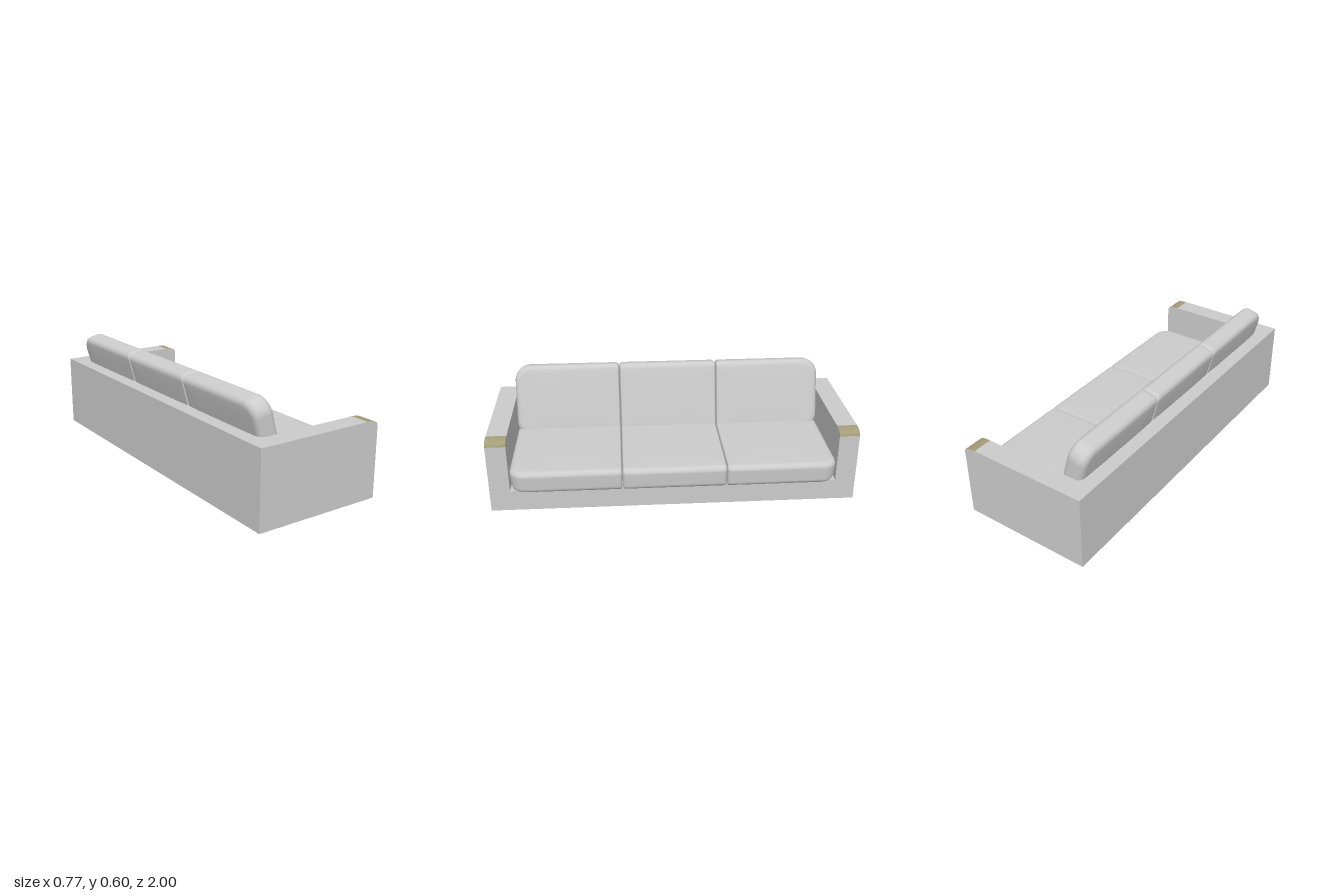
import * as THREE from 'three';
import { toCreasedNormals } from 'three/addons/utils/BufferGeometryUtils.js';

const grey = new THREE.MeshStandardMaterial({ color: 0xcccccc });
const olive = new THREE.MeshStandardMaterial({ color: 0xa59d78 });

const BACK = -0.385, FRONT = 0.343, ARM_TOP = 0.418, ARM_INNER = 0.89, BASE_TOP = 0.118;
const NOSE_X = 0.272, NOSE_Y = 0.388;

function addMesh(parent, name, geometry, material = grey) {
  const mesh = new THREE.Mesh(geometry, material);
  mesh.name = name;
  parent.add(mesh);
  return mesh;
}

function addBox(parent, name, x0, x1, y0, y1, z0, z1) {
  const mesh = addMesh(parent, name, new THREE.BoxGeometry(x1 - x0, y1 - y0, z1 - z0));
  mesh.position.set((x0 + x1) / 2, (y0 + y1) / 2, (z0 + z1) / 2);
}

// Rounded rectangle in x/z. ends = which z ends are free (true) or a seam (false), as [+z, -z]
function outline(depth, width, inset, ends, cornerRadius) {
  const points = [];
  const corners = [[1, 1], [-1, 1], [-1, -1], [1, -1]];
  corners.forEach(([sx, sz], c) => {
    const free = ends[sz > 0 ? 0 : 1];
    const hx = depth / 2 - inset;
    const hz = width / 2 - inset * (free ? 1 : 0.3);
    const r = Math.max((free ? cornerRadius : 0.022) - inset * 0.6, 0.004);
    for (let i = 0; i <= 7; i++) {
      const a = (c + i / 7) * Math.PI / 2;
      points.push([sx * (hx - r) + r * Math.cos(a), sz * (hz - r) + r * Math.sin(a)]);
    }
  });
  return points;
}

// Cushion lofted through stacked outlines: domed caps, rounded edges, slightly pinched lower side
function cushionGeometry({ depth, width, height, edge, dome, pinch, ends, cornerRadius }) {
  const rings = [];
  const capScales = [0, 0.3, 0.6, 0.8, 0.92];
  const steps = 6;
  const half = height / 2;
  const addRing = (inset, y, scale = 1) => rings.push(
    outline(depth, width, inset, ends, cornerRadius).map(([x, z]) => [x * scale, y, z * scale]));
  const domeAt = s => dome * (1 - s ** 4);

  capScales.forEach(s => addRing(edge + pinch, -half - domeAt(s), s));
  for (let i = 0; i <= steps; i++) {
    const t = (1 - i / steps) * Math.PI / 2;
    addRing(edge * (1 - Math.cos(t)) + pinch, -half + edge - edge * Math.sin(t));
  }
  for (let i = 0; i <= steps; i++) {
    const t = (i / steps) * Math.PI / 2;
    addRing(edge * (1 - Math.cos(t)), half - edge + edge * Math.sin(t));
  }
  capScales.slice().reverse().forEach(s => addRing(edge, half + domeAt(s), s));

  const n = rings[0].length;
  const index = [];
  for (let j = 0; j < rings.length - 1; j++) {
    for (let k = 0; k < n; k++) {
      const a = j * n + k, b = j * n + (k + 1) % n;
      index.push(a, a + n, b, b, a + n, b + n);
    }
  }
  const geometry = new THREE.BufferGeometry();
  geometry.setAttribute('position', new THREE.Float32BufferAttribute(rings.flat(2), 3));
  geometry.setIndex(index);
  geometry.computeVertexNormals();
  return geometry;
}

function makeArm(side) {
  const arm = new THREE.Group();
  arm.name = side > 0 ? 'leftArm' : 'rightArm';
  const depth = 1 - ARM_INNER;

  // Panel with its front top corner cut off
  const panel = new THREE.Shape([
    [BACK, 0], [FRONT, 0], [FRONT, NOSE_Y], [NOSE_X, ARM_TOP], [BACK, ARM_TOP],
  ].map(([x, y]) => new THREE.Vector2(x, y)));
  addMesh(arm, 'armPanel', new THREE.ExtrudeGeometry(panel, { depth, bevelEnabled: false }));

  // Rounded nose filling the cut corner; only its curved face is coloured
  const nose = new THREE.Shape();
  nose.moveTo(FRONT, NOSE_Y);
  nose.quadraticCurveTo(FRONT, ARM_TOP, NOSE_X, ARM_TOP);
  const noseGeometry = new THREE.ExtrudeGeometry(nose, { depth, bevelEnabled: false, curveSegments: 10 });
  addMesh(arm, 'armNose', toCreasedNormals(noseGeometry, 0.6), [grey, olive]);

  arm.position.z = side > 0 ? ARM_INNER : -1;
  return arm;
}

export function createModel() {
  const sofa = new THREE.Group();
  sofa.name = 'sofa';

  // Frame
  addBox(sofa, 'base', BACK, FRONT, 0, BASE_TOP, -ARM_INNER, ARM_INNER);
  addBox(sofa, 'backPanel', BACK, -0.285, BASE_TOP, ARM_TOP, -ARM_INNER, ARM_INNER);
  sofa.add(makeArm(1), makeArm(-1));

  // Three seat cushions and three leaning back cushions
  const seams = [-0.889, -0.283, 0.283, 0.889];
  for (let i = 0; i < 3; i++) {
    const width = seams[i + 1] - seams[i];
    const z = (seams[i] + seams[i + 1]) / 2;
    const ends = [i === 2, i === 0];

    const seat = addMesh(sofa, 'seatCushion', cushionGeometry({
      depth: 0.653, width, height: 0.127, edge: 0.03, dome: 0.004, pinch: 0.005, ends, cornerRadius: 0.08,
    }));
    seat.position.set(0.057, 0.181, z);

    const back = addMesh(sofa, 'backCushion', cushionGeometry({
      depth: 0.42, width, height: 0.112, edge: 0.032, dome: 0.003, pinch: 0, ends, cornerRadius: 0.085,
    }));
    back.position.set(-0.24, 0.39, z);
    back.rotation.z = Math.PI / 2 + 0.26;
  }
  return sofa;
}
